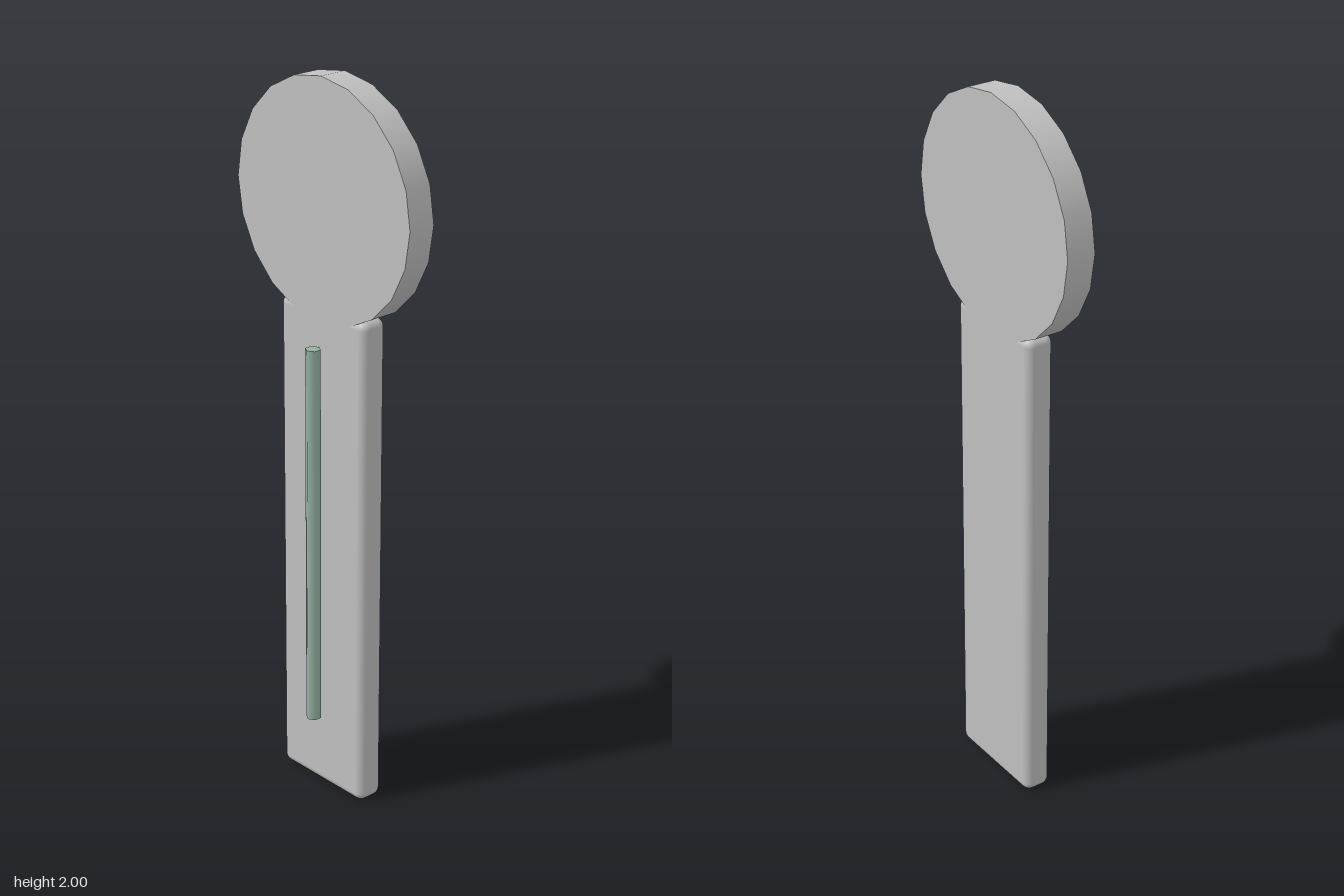
import * as THREE from 'three';
import { RoundedBoxGeometry } from 'three/addons/geometries/RoundedBoxGeometry.js';

export function createModel() {
  const group = new THREE.Group();
  const grey = new THREE.MeshStandardMaterial({ name: 'lightGrey', color: 0xc0c0c0 });
  const green = new THREE.MeshStandardMaterial({ name: 'greyGreen', color: 0x95b2a2 });

  const add = (name, geometry, material, y, z) => {
    const mesh = new THREE.Mesh(geometry, material);
    mesh.name = name;
    mesh.position.set(0, y, z);
    group.add(mesh);
  };

  const depth = 0.08, plateZ = -0.026, radius = 0.322;

  // Round head: a 20-sided disc facing the front
  const disc = new THREE.CylinderGeometry(radius, radius, depth, 20).rotateX(Math.PI / 2);
  add('headDisc', disc, grey, 2 - radius, plateZ);

  // Flat body with softened edges, flush with the disc
  add('body', new RoundedBoxGeometry(0.322, 1.395, depth, 4, 0.024), grey, 0.7, plateZ);

  // Hexagonal rod floating just in front of the body
  add('frontRod', new THREE.CylinderGeometry(0.021, 0.021, 1.076, 6), green, 0.756, 0.0415);

  return group;
}
